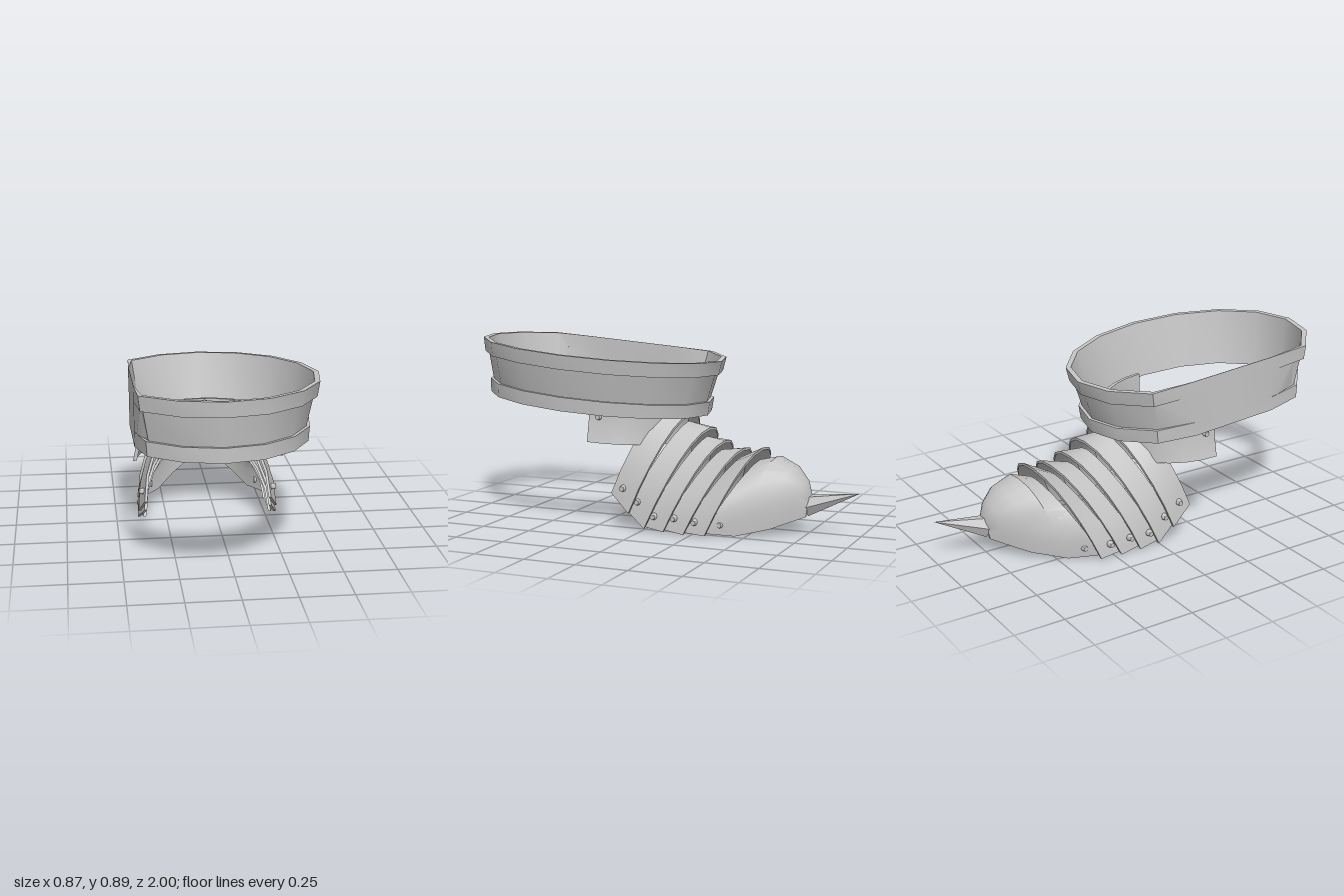
import * as THREE from 'three';
import { toCreasedNormals } from 'three/addons/utils/BufferGeometryUtils.js';

const metal = new THREE.MeshStandardMaterial({ color: 0xc6c6c6, side: THREE.DoubleSide });
metal.name = 'grey metal';

function add(parent, name, geometry) {
  const mesh = new THREE.Mesh(geometry, metal);
  mesh.name = name;
  parent.add(mesh);
  return mesh;
}

// Skins a closed loop of rows (outer rows, then inner rows reversed) into a thick shell.
function shell(rows, closed, crease = 0.6) {
  const n = rows.length, m = rows[0].length, index = [];
  const id = (r, u) => (r % n) * m + (u % m);
  const quad = (a, b, c, d) => index.push(a, b, c, a, c, d);
  for (let r = 0; r < n; r++) {
    for (let u = 0; u < (closed ? m : m - 1); u++) {
      quad(id(r, u), id(r + 1, u), id(r + 1, u + 1), id(r, u + 1));
    }
  }
  if (!closed) {
    for (let k = 0; k < n / 2 - 1; k++) {
      quad(id(k, 0), id(n - 1 - k, 0), id(n - 2 - k, 0), id(k + 1, 0));
      quad(id(k, m - 1), id(k + 1, m - 1), id(n - 2 - k, m - 1), id(n - 1 - k, m - 1));
    }
  }
  const g = new THREE.BufferGeometry();
  g.setAttribute('position', new THREE.Float32BufferAttribute(rows.flat(2), 3));
  g.setIndex(index);
  return toCreasedNormals(g, crease);
}

// Leaning arch: [bottom z, bottom y, top z, top y, centre x, half width, pointedness]
function arch([zb, yb, zt, yt, c, w, p], inset = 0) {
  const row = [];
  for (let i = 0; i <= 12; i++) {
    const a = (i / 12) * Math.PI;
    const cos = Math.cos(a);
    const x = Math.sign(cos) * Math.abs(cos) ** p * (w - inset);
    const t = Math.sin(a);
    row.push([c + x, yb + (yt - inset - yb) * t, zb + (zt - zb) * t]);
  }
  return row;
}

const archShell = (sections, thick) => shell([
  ...sections.map((s) => arch(s)),
  ...sections.map((s) => arch(s, thick)).reverse(),
], false);

// Front edge of the first plate, then the flared back lip of each plate
const edges = [
  [0.18, 0.17, 0.0, 0.625, -0.06, 0.31, 1.25],
  [0.07, 0.085, -0.12, 0.545, -0.05, 0.345, 0.95],
  [-0.016, 0.02, -0.22, 0.475, -0.045, 0.35, 0.9],
  [-0.118, 0.015, -0.3, 0.415, -0.04, 0.35, 0.88],
  [-0.22, 0.01, -0.4, 0.385, -0.035, 0.345, 0.86],
  [-0.33, 0.015, -0.5, 0.395, -0.03, 0.345, 0.86],
];

// Front edge tucked under the lip ahead of it
const tuck = ([zb, yb, zt, yt, c, w], drop) =>
  [zb + 0.015, yb + 0.005, zt + 0.015, yt - drop, c, w - 0.028, 1.2];

export function createModel() {
  const root = new THREE.Group();
  root.name = 'armour';

  // Large tilted band with two raised rims, cut flat on its right side
  const ringRow = ([inset, y, cut]) => {
    const row = [];
    for (let i = 0; i < 16; i++) {
      const a = (i / 16) * Math.PI * 2;
      row.push([Math.max(Math.sin(a) * (0.505 - inset), cut), y, Math.cos(a) * (0.637 - inset)]);
    }
    return row;
  };
  const band = add(root, 'upperBand', shell([
    [0, 0, -0.365], [0.012, -0.07, -0.365], [0.03, -0.07, -0.365], [0.062, -0.207, -0.365],
    [0.046, -0.207, -0.365], [0.052, -0.275, -0.365], [0.08, -0.275, -0.362], [0.025, 0, -0.362],
  ].map(ringRow), true));
  band.position.set(-0.07, 0.85, 0.365);
  band.rotation.x = -0.079;

  // Horseshoe collar below the band
  const collarRow = ([w, d, y]) => {
    const row = [];
    for (let i = 0; i <= 14; i++) {
      const a = (i / 14) * Math.PI;
      const z = 0.29 - d * Math.sin(a);
      row.push([-0.07 + w * Math.cos(a), y + 0.06 * z, z]);
    }
    return row;
  };
  add(root, 'collar', shell([
    [0.34, 0.375, 0.615], [0.335, 0.365, 0.51], [0.358, 0.36, 0.402],
    [0.34, 0.34, 0.402], [0.317, 0.345, 0.51], [0.322, 0.355, 0.615],
  ].map(collarRow), false));

  // Overlapping plates, each starting under the lip of the one ahead
  const plates = new THREE.Group();
  plates.name = 'plates';
  root.add(plates);
  for (let i = 0; i < 5; i++) {
    const front = i === 0 ? edges[0] : tuck(edges[i], 0.045);
    add(plates, 'plate' + (i + 1), archShell([front, edges[i + 1]], 0.013));
  }

  // Domed end cap
  add(root, 'endCap', archShell([
    tuck(edges[5], 0.06),
    [-0.45, 0.006, -0.575, 0.357, -0.022, 0.25, 0.75],
    [-0.6, 0.04, -0.67, 0.315, -0.008, 0.175, 0.6],
    [-0.69, 0.072, -0.73, 0.255, 0.003, 0.105, 0.6],
    [-0.745, 0.09, -0.757, 0.185, 0.01, 0.05, 0.6],
  ], 0.01));

  // Six-sided spike
  const base = new THREE.Vector3(0.01, 0.137, -0.738);
  const axis = new THREE.Vector3(0.03, 0.217, -0.998).sub(base);
  const cone = new THREE.ConeGeometry(0.054, axis.length(), 6).rotateY(Math.PI / 6);
  const spike = add(root, 'spike', toCreasedNormals(cone, 0.3));
  spike.quaternion.setFromUnitVectors(new THREE.Vector3(0, 1, 0), axis.clone().normalize());
  spike.position.copy(base).addScaledVector(axis, 0.5);

  // Rivets on both sides of the collar, plates and cap: [centre x, half width, y, z]
  const rivets = new THREE.Group();
  rivets.name = 'rivets';
  root.add(rivets);
  const spots = [
    [-0.055, 0.326, 0.2, 0.11], [-0.05, 0.325, 0.14, 0.03], [-0.045, 0.337, 0.08, -0.06],
    [-0.04, 0.335, 0.08, -0.165], [-0.035, 0.33, 0.07, -0.27], [-0.028, 0.285, 0.06, -0.385],
    [-0.07, 0.333, 0.54, 0.24],
  ];
  for (const [c, w, y, z] of spots) {
    for (const side of [1, -1]) {
      const g = new THREE.CylinderGeometry(0.012, 0.018, 0.026, 8).rotateZ(-side * Math.PI / 2);
      add(rivets, 'rivet', toCreasedNormals(g, 0.9)).position.set(c + side * w, y, z);
    }
  }
  return root;
}
